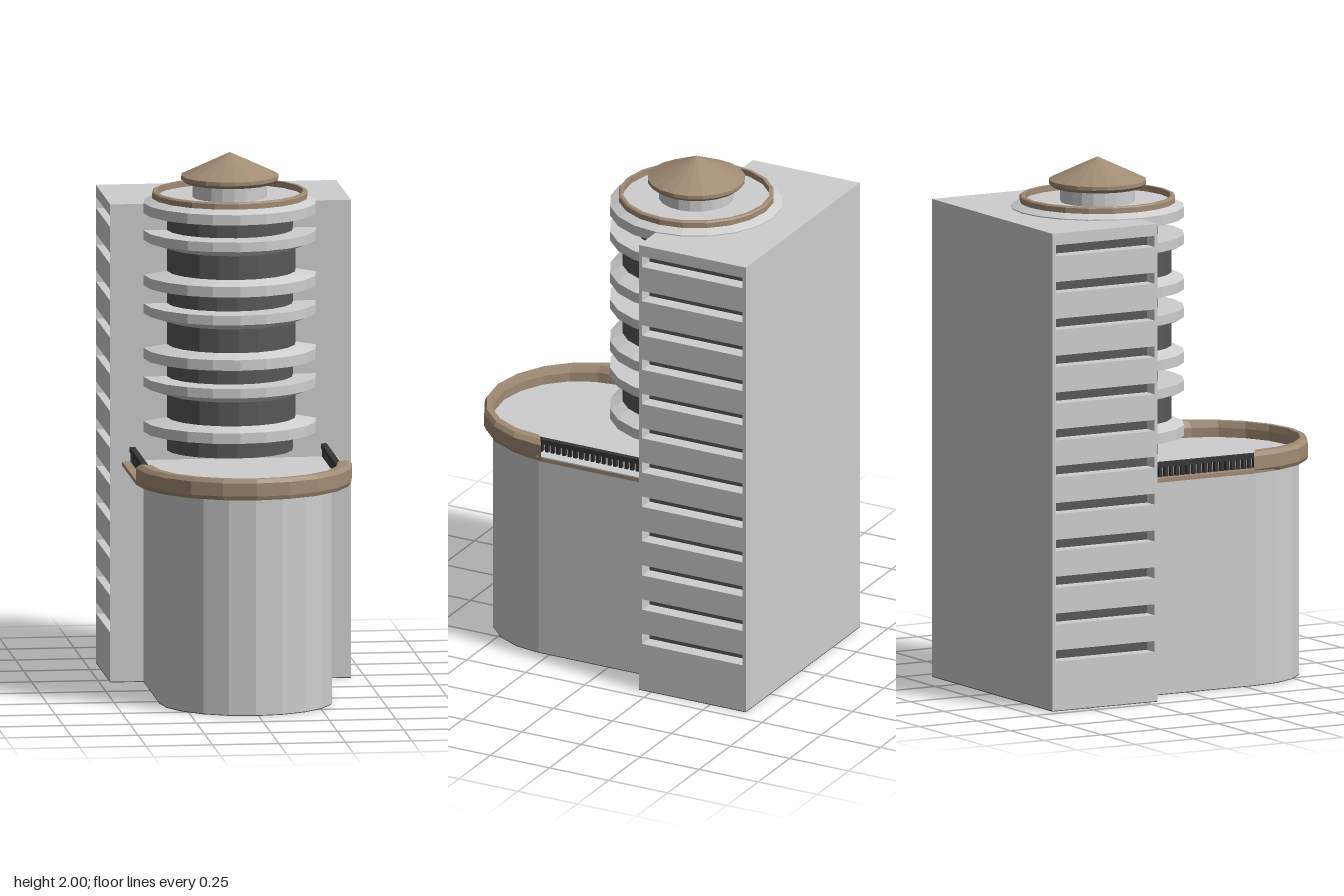
import * as THREE from 'three';

const CX = -0.01; // shared centre line of the front body and round tower

const mat = (name, color) => {
  const m = new THREE.MeshStandardMaterial({ color });
  m.name = name;
  return m;
};

// Closed, flat-faced skin over a list of convex loops (loops run clockwise seen from ahead)
function skin(rings) {
  const pos = [];
  const tri = (...pts) => pts.forEach((p) => pos.push(p.x, p.y, p.z));
  const n = rings[0].length;
  for (let j = 0; j < rings.length - 1; j++) {
    for (let i = 0; i < n; i++) {
      const k = (i + 1) % n, a = rings[j], b = rings[j + 1];
      tri(a[i], b[i], a[k]);
      tri(a[k], b[i], b[k]);
    }
  }
  const first = rings[0], last = rings[rings.length - 1];
  for (let i = 1; i < n - 1; i++) {
    tri(first[0], first[i], first[i + 1]);
    tri(last[0], last[i + 1], last[i]);
  }
  const g = new THREE.BufferGeometry();
  g.setAttribute('position', new THREE.Float32BufferAttribute(pos, 3));
  g.computeVertexNormals();
  return g;
}

// Points of a ten-sided half ellipse bulging toward +z
function arc(rx, rz, cz) {
  const pts = [];
  for (let i = 0; i <= 10; i++) {
    const a = (i / 10) * Math.PI;
    pts.push([CX + rx * Math.cos(a), cz + rz * Math.sin(a)]);
  }
  return pts;
}

// Stack of one plan at several heights, each scaled about (CX, cz)
function loft(plan, layers, cz = 0) {
  return skin(layers.map(([y, s]) =>
    plan.map(([x, z]) => new THREE.Vector3(CX + (x - CX) * s, y, cz + (z - cz) * s))));
}

export function createModel() {
  const model = new THREE.Group();
  model.name = 'tower';
  const concrete = mat('concrete', 0xcecece);
  const bronze = mat('bronze', 0xa18c74);
  const glass = mat('darkGlass', 0x585858);
  const railing = mat('railing', 0x363636);
  bronze.flatShading = concrete.flatShading = true;

  const add = (name, geo, material, x = 0, y = 0, z = 0) => {
    const m = new THREE.Mesh(geo, material);
    m.name = name;
    m.position.set(x, y, z);
    model.add(m);
    return m;
  };
  const box = (name, material, x0, x1, y0, y1, z0, z1) =>
    add(name, new THREE.BoxGeometry(x1 - x0, y1 - y0, z1 - z0), material,
      (x0 + x1) / 2, (y0 + y1) / 2, (z0 + z1) / 2);

  // Rear slab: both sides notched by twelve window slots
  const L = -0.46, R = 0.445, H = 1.81, base = 0.003, depth = 0.06, half = 0.021;
  const slots = Array.from({ length: 12 }, (_, i) => 0.21 + i * 0.1395);
  const shape = new THREE.Shape();
  shape.moveTo(L, base);
  shape.lineTo(R, base);
  for (const y of slots) {
    shape.lineTo(R, y - half);
    shape.lineTo(R - depth, y - half);
    shape.lineTo(R - depth, y + half);
    shape.lineTo(R, y + half);
  }
  shape.lineTo(R, H);
  shape.lineTo(L, H);
  for (const y of [...slots].reverse()) {
    shape.lineTo(L, y + half);
    shape.lineTo(L + depth, y + half);
    shape.lineTo(L + depth, y - half);
    shape.lineTo(L, y - half);
  }
  shape.closePath();
  add('rearSlab', new THREE.ExtrudeGeometry(shape, { depth: 0.424, bevelEnabled: false }),
    concrete, 0, 0, -0.637);
  box('rearSlabFrontWall', concrete, L, R, base, H, -0.213, -0.2);
  box('rearSlabBackWall', concrete, L, R, base, H, -0.652, -0.637);
  box('rearSlabUnderside', glass, L, R, 0, base, -0.652, -0.2);
  for (const y of slots) {
    for (const x of [L + depth, R - depth]) {
      box('sideWindow', glass, x - 0.003, x + 0.003, y - half, y + half, -0.637, -0.213);
    }
  }

  // Front body with rounded nose
  const bodyPlan = [[CX + 0.325, -0.2], ...arc(0.325, 0.325, 0.295), [CX - 0.325, -0.2]];
  add('frontBody', loft(bodyPlan, [[base, 1], [0.84, 1]]), concrete);
  add('frontBodyUnderside', loft(bodyPlan, [[0, 1], [base, 1]]), glass);

  // Terrace slab and its right-hand ledge
  const deckPlan = [[CX + 0.405, -0.2], ...arc(0.405, 0.33, 0.24), [CX - 0.405, -0.2]];
  add('terraceSlab', loft(deckPlan, [[0.82, 1], [0.835, 1]]), bronze);
  box('terraceLedge', concrete, 0.31, 0.395, 0.835, 0.84, -0.2, 0.26);

  // Curved parapet: chamfered section swept between an outer and an inner curve
  const outer = arc(0.407, 0.408, 0.24), inner = arc(0.335, 0.327, 0.287);
  const section = [[1, 0.875], [0.8, 0.9], [0.25, 0.9], [0, 0.885], [0, 0.835], [0.15, 0.82], [1, 0.82]];
  add('parapet', skin(outer.map(([x, z], i) => section.map(([u, y]) =>
    new THREE.Vector3(x + (inner[i][0] - x) * u, y, z + (inner[i][1] - z) * u)))), bronze);

  // Side railings with balusters
  for (const x of [-0.377, 0.343]) {
    box('handrail', railing, x - 0.011, x + 0.011, 0.872, 0.89, -0.2, 0.28);
    for (let i = 0; i < 20; i++) {
      const z = -0.19 + i * 0.024;
      box('baluster', railing, x - 0.007, x + 0.007, 0.835, 0.873, z - 0.007, z + 0.007);
    }
  }

  // Round tower: three repeats of paired rings with wide and narrow window bands
  const plan = arc(0.325, 0.325, -0.2), narrow = arc(0.237, 0.222, -0.2);
  const mid = -0.037;
  add('topRing', loft(plan, [[1.775, 1], [1.81, 1]]), concrete);
  add('narrowWindowBand', loft(narrow, [[1.7, 1], [1.78, 1]]), glass);
  for (let i = 0; i < 3; i++) {
    const t = 1.71 - i * 0.277;
    add('upperRing', loft(plan, [[t - 0.058, 0.75], [t - 0.036, 1], [t, 1]], mid), concrete);
    add('wideWindowBand', loft(plan, [[t - 0.155, 0.745], [t - 0.05, 0.745]], mid), glass);
    add('lowerRing', loft(plan, [[t - 0.208, 1], [t - 0.168, 1], [t - 0.148, 0.75]], mid), concrete);
    add('narrowWindowBand', loft(narrow, [[t - 0.28, 1], [t - 0.2, 1]]), glass);
  }

  // Roof: sloped disc, rim, drum and pointed cap
  const lathe = (name, pts, material) => add(name,
    new THREE.LatheGeometry(pts.map(([r, y]) => new THREE.Vector2(r, y)), 20), material, CX, 0, -0.2);
  lathe('roofDisc', [[0.325, 1.805], [0.325, 1.814], [0.285, 1.832], [0, 1.832]], concrete);
  lathe('roofRim', [[0.275, 1.83], [0.292, 1.83], [0.292, 1.85], [0.287, 1.855], [0.275, 1.855], [0.275, 1.83]], bronze);
  lathe('roofDrum', [[0.14, 1.83], [0.14, 1.89]], concrete);
  lathe('roofCap', [[0, 1.887], [0.168, 1.887], [0.183, 1.9], [0.183, 1.914], [0, 2]], bronze);

  return model;
}
